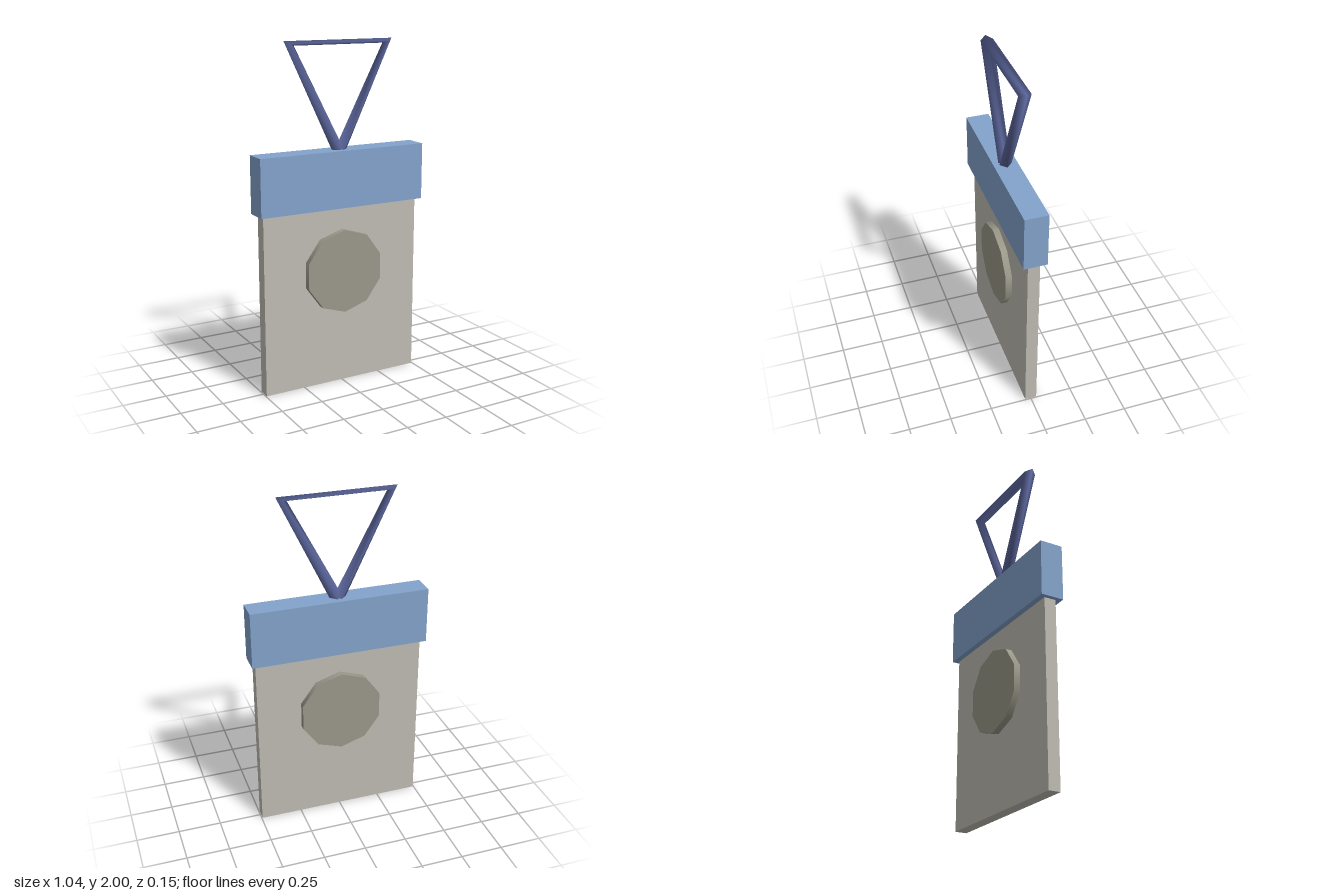
import * as THREE from 'three';

const mat = (name, color) => {
  const m = new THREE.MeshStandardMaterial({ color });
  m.name = name;
  return m;
};

export function createModel() {
  const group = new THREE.Group();
  const stone = mat('pale stone grey', 0xbebbb2);
  const darkStone = mat('dark stone grey', 0x9a9889);
  const blue = mat('light blue', 0x83a3cb);
  const navy = mat('dark indigo', 0x5a659a);

  const add = (name, geometry, material, y = 0) => {
    const mesh = new THREE.Mesh(geometry, material);
    mesh.name = name;
    mesh.position.y = y;
    group.add(mesh);
  };

  // Flat body and the wider band across its top
  add('body', new THREE.BoxGeometry(0.99, 1.06, 0.07), stone, 0.53);
  add('topBand', new THREE.BoxGeometry(1.04, 0.33, 0.136), blue, 1.225);

  // Ten-sided disc passing through the body
  add('disc', new THREE.CylinderGeometry(0.247, 0.247, 0.146, 10).rotateX(Math.PI / 2), darkStone, 0.685);

  // Triangular hanging loop: a three-cornered ring, stretched down to a long lower point
  const R = 0.357, r = 0.035;
  const loop = new THREE.TorusGeometry(R, r, 4, 3).rotateZ(-Math.PI / 2);
  const p = loop.attributes.position;
  for (let i = 0; i < p.count; i++) {
    const d = (Math.hypot(p.getX(i), p.getY(i)) - R) / r; // -1 inner edge, 1 outer edge
    p.setY(i, p.getY(i) < 0 ? 1.367 - 0.077 * d : 1.987 + 0.013 * d);
  }
  add('hangingLoop', loop, navy);

  return group;
}
